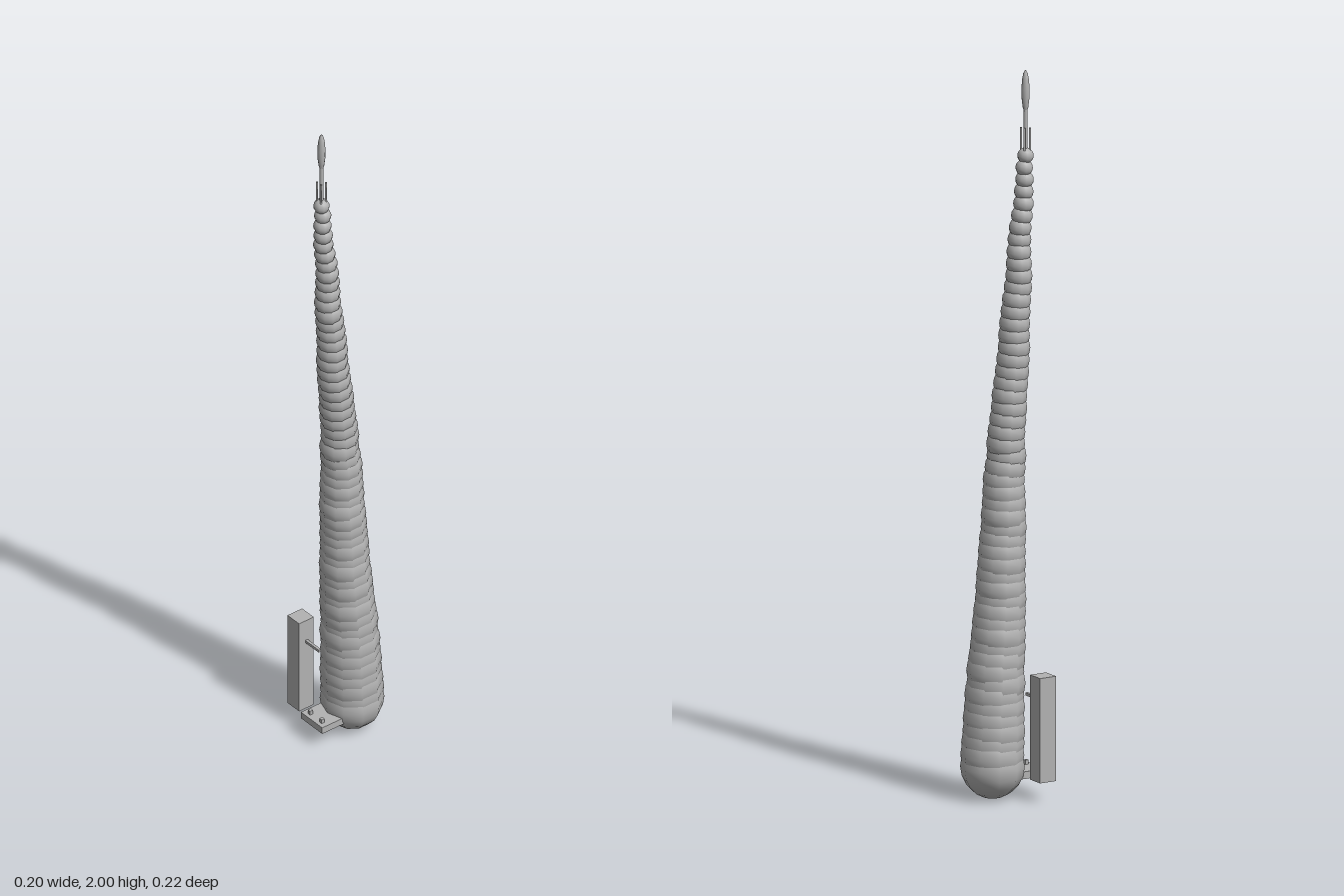
import * as THREE from 'three';

export function createModel() {
  const model = new THREE.Group();
  model.name = 'beadedSpire';
  const grey = new THREE.MeshStandardMaterial({ color: 0xb2b2b2 });
  grey.name = 'stone grey';
  const CX = 0.018;

  function add(name, geometry, x, y, z, parent = model) {
    const mesh = new THREE.Mesh(geometry, grey);
    mesh.name = name;
    mesh.position.set(x, y, z);
    parent.add(mesh);
    return mesh;
  }

  // Seeded jitter in the range -1..1
  let seed = 7;
  const jitter = () => {
    seed = (seed * 16807) % 2147483647;
    return (seed / 2147483647) * 2 - 1;
  };

  // Leaning column: overlapping spheres along [height, z, radius] stations
  const stations = [
    [0.087, -0.025, 0.087], [0.2, -0.022, 0.084], [0.4, -0.01, 0.076],
    [0.6, 0.003, 0.067], [0.8, 0.011, 0.06], [1.0, 0.02, 0.051],
    [1.2, 0.04, 0.045], [1.4, 0.054, 0.038], [1.6, 0.068, 0.029], [1.762, 0.08, 0.022],
  ];
  const column = new THREE.Group();
  column.name = 'column';
  model.add(column);
  const bead = new THREE.SphereGeometry(1, 10, 10);
  bead.rotateY(Math.PI / 2);
  const count = 52;
  for (let i = 0; i < count; i++) {
    const y = 0.087 + (1.762 - 0.087) * i / (count - 1);
    let k = 0;
    while (k < stations.length - 2 && y > stations[k + 1][0]) k++;
    const [y0, z0, r0] = stations[k], [y1, z1, r1] = stations[k + 1];
    const t = (y - y0) / (y1 - y0);
    const wobble = i === 0 || i === count - 1 ? 0 : 0.003;
    const sphere = add('columnBead', bead, CX + jitter() * wobble * 0.5, y,
      THREE.MathUtils.lerp(z0, z1, t) + jitter() * wobble, column);
    sphere.scale.setScalar(THREE.MathUtils.lerp(r0, r1, t));
  }

  // Finial: four corner rods clasping a thin mast with a slender tip
  const TZ = 0.08;
  for (const sx of [-1, 1]) for (const sz of [-1, 1]) {
    add('finialRod', new THREE.CylinderGeometry(0.003, 0.003, 0.07, 6),
      CX + sx * 0.0085, 1.805, TZ + sz * 0.0085);
  }
  add('mast', new THREE.CylinderGeometry(0.005, 0.006, 0.14, 8), CX, 1.84, TZ);
  const tipProfile = [[0, 0], [0.007, 0.012], [0.0105, 0.04], [0.011, 0.065], [0.0095, 0.09], [0.006, 0.11], [0, 0.12]]
    .map(([r, y]) => new THREE.Vector2(r, y));
  add('tip', new THREE.LatheGeometry(tipProfile, 10), CX, 1.88, TZ);

  // Side tower joined to the column by a short bridge
  add('sideTower', new THREE.BoxGeometry(0.05, 0.29, 0.05), -0.078, 0.2, 0.075);
  add('bridge', new THREE.BoxGeometry(0.06, 0.008, 0.008), -0.025, 0.277, 0.075);

  // Entrance platform with two posts
  add('platform', new THREE.BoxGeometry(0.092, 0.02, 0.075), 0.017, 0.062, 0.0755);
  for (const s of [-1, 1]) {
    add('platformPost', new THREE.BoxGeometry(0.01, 0.012, 0.01), 0.017 + s * 0.025, 0.078, 0.097);
  }
  return model;
}
